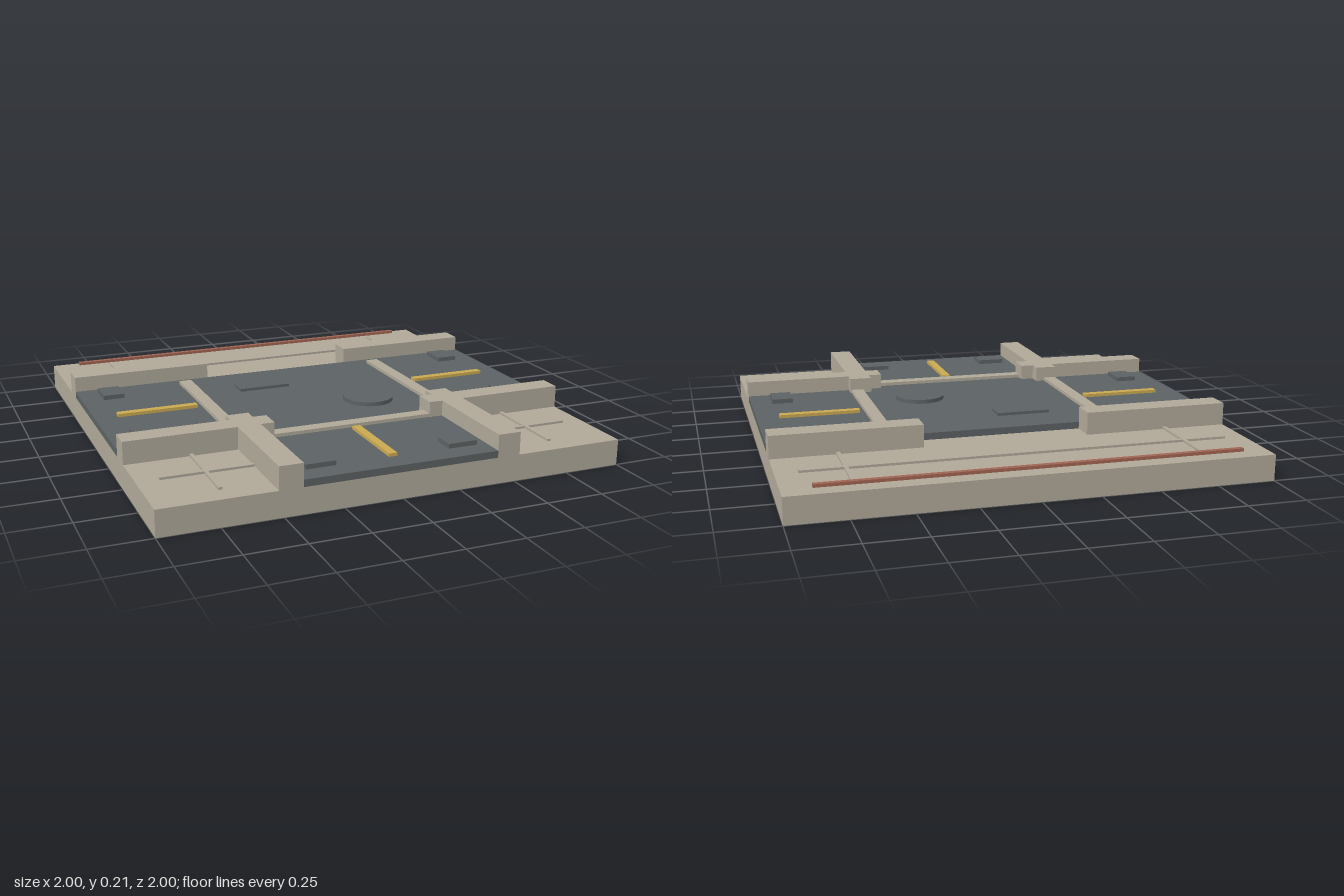
import * as THREE from 'three';

export function createModel() {
  const model = new THREE.Group();
  model.name = 'roadJunctionTile';

  const material = (name, color) => {
    const m = new THREE.MeshStandardMaterial({ color });
    m.name = name;
    return m;
  };
  const stone = material('stone', 0xb0a899);
  const asphalt = material('asphalt', 0x5c6163);
  const yellow = material('yellow paint', 0xc8a850);
  const red = material('red brick', 0xa06452);

  // Box given by its limits along each axis
  const box = (name, mat, x0, x1, y0, y1, z0, z1) => {
    const mesh = new THREE.Mesh(new THREE.BoxGeometry(x1 - x0, y1 - y0, z1 - z0), mat);
    mesh.position.set((x0 + x1) / 2, (y0 + y1) / 2, (z0 + z1) / 2);
    mesh.name = name;
    model.add(mesh);
    return mesh;
  };
  // The same box on the left and mirrored on the right
  const pair = (name, mat, x0, x1, ...rest) => {
    box(name + 'Left', mat, x0, x1, ...rest);
    box(name + 'Right', mat, -x1, -x0, ...rest);
  };

  const ground = 0.112, road = 0.142, wall = 0.21;

  box('base', stone, -1, 1, 0, ground, -1, 1);

  // T-shaped road
  const outline = [[-1, 0.42], [1, 0.42], [1, -0.42], [0.42, -0.42],
    [0.42, -1], [-0.42, -1], [-0.42, -0.42], [-1, -0.42]];
  const shape = new THREE.Shape(outline.map(([x, y]) => new THREE.Vector2(x, y)));
  const roadMesh = new THREE.Mesh(
    new THREE.ExtrudeGeometry(shape, { depth: road - ground, bevelEnabled: false }), asphalt);
  roadMesh.rotation.x = -Math.PI / 2;
  roadMesh.position.y = ground;
  roadMesh.name = 'road';
  model.add(roadMesh);

  // Low walls along the road, crossing at the front corners
  pair('backWall', stone, 0.36, 1, ground, wall, -0.525, -0.42);
  pair('frontWall', stone, 0.36, 1, ground, wall, 0.42, 0.52);
  pair('sideWall', stone, 0.42, 0.52, ground, wall, 0.36, 1);

  // Stone thresholds where the arms meet the crossing
  pair('sideThreshold', stone, 0.46, 0.517, road, 0.157, -0.36, 0.36);
  box('frontThreshold', stone, -0.36, 0.36, road, 0.157, 0.46, 0.517);

  // Centre line dashes
  pair('sideDash', yellow, 0.54, 0.9, road, 0.156, -0.018, 0.018);
  box('frontDash', yellow, -0.018, 0.018, road, 0.156, 0.54, 0.9);

  // Raised slabs and round cover on the road
  pair('backSlab', asphalt, 0.81, 0.905, road, 0.162, -0.375, -0.247);
  pair('middleSlab', asphalt, 0.81, 0.905, road, 0.162, 0.247, 0.375);
  pair('frontSlab', asphalt, 0.247, 0.375, road, 0.162, 0.81, 0.905);
  box('drainSlab', asphalt, -0.285, -0.045, road, 0.155, -0.233, -0.135);
  const cover = new THREE.Mesh(new THREE.CylinderGeometry(0.113, 0.113, 0.018, 40), asphalt);
  cover.position.set(0.22, road + 0.009, 0.18);
  cover.name = 'roundCover';
  model.add(cover);

  // Thin paving ribs on the pavements
  const rib = 0.122;
  box('backRib', stone, -0.907, 0.907, ground, rib, -0.733, -0.717);
  pair('backCrossRib', stone, 0.712, 0.728, ground, rib, -0.907, -0.525);
  pair('frontRib', stone, 0.52, 0.907, ground, rib, 0.712, 0.728);
  pair('frontCrossRib', stone, 0.712, 0.728, ground, rib, 0.52, 0.907);

  // Red strip held just above the back pavement
  box('redStrip', red, -0.88, 0.88, 0.121, 0.134, -0.953, -0.93);

  return model;
}
